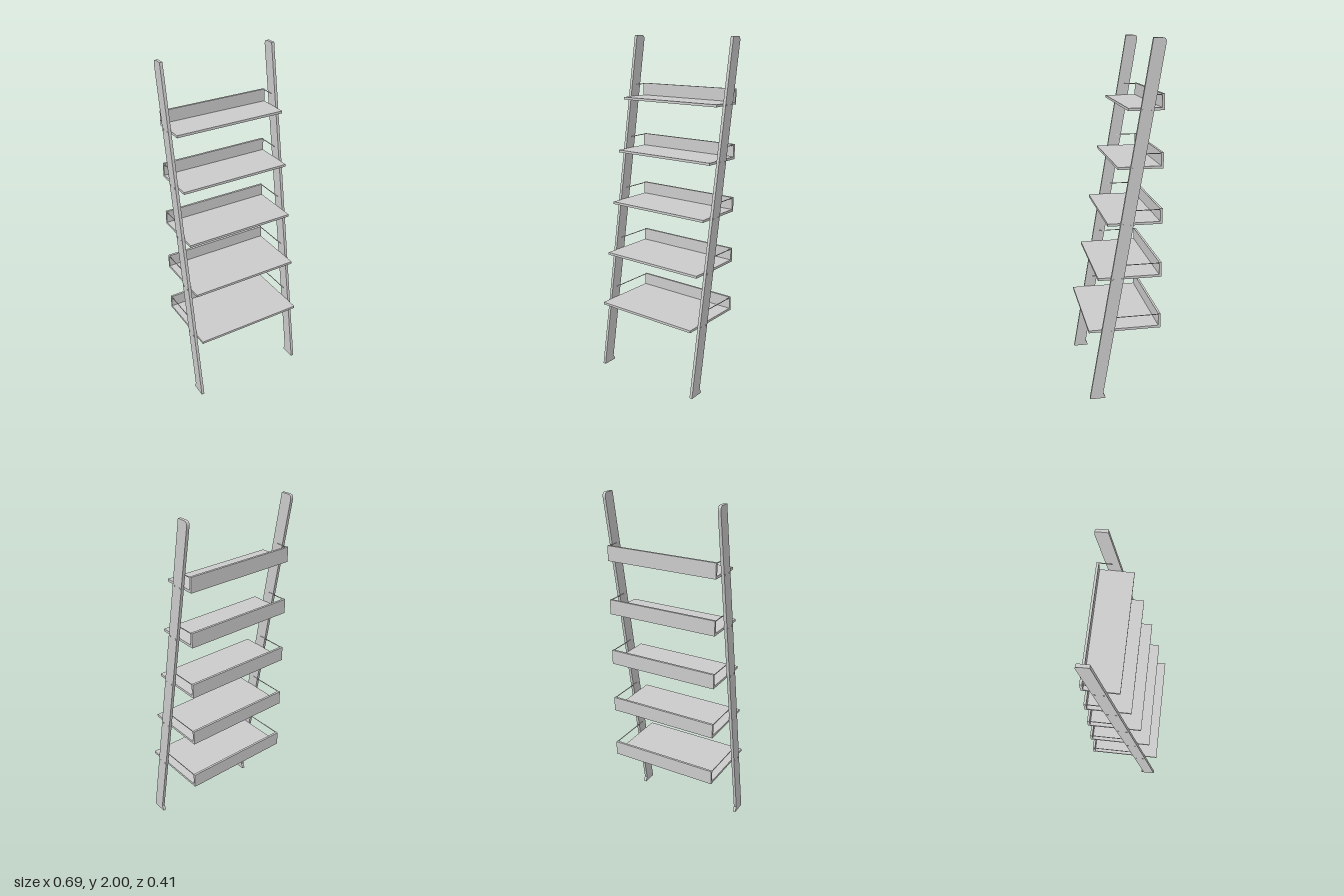
import * as THREE from 'three';

const material = new THREE.MeshStandardMaterial({ color: 0xcccccc, flatShading: true });
const INNER = 0.328, THICK = 0.017, BACK = -0.206;

function add(parent, name, geometry, x = 0, y = 0, z = 0) {
  const mesh = new THREE.Mesh(geometry, material);
  mesh.name = name;
  mesh.position.set(x, y, z);
  parent.add(mesh);
  return mesh;
}

// side profile drawn with x = -z, extruded across the rail thickness
function extrudeSide(shape) {
  return new THREE.ExtrudeGeometry(shape, { depth: THICK, bevelEnabled: false, curveSegments: 6 })
    .rotateY(Math.PI / 2).translate(-THICK / 2, 0, 0);
}

function railGeometry() {
  const s = new THREE.Shape();
  s.moveTo(-0.203, 0.006);
  s.lineTo(-0.132, 0.006);
  s.lineTo(0.204, 1.975);
  s.quadraticCurveTo(0.206, 2, 0.185, 2);
  s.lineTo(0.137, 2);
  s.closePath();
  return extrudeSide(s);
}

// wedge-shaped foot under the rail
function footGeometry() {
  const s = new THREE.Shape();
  s.moveTo(-0.203, 0);
  s.lineTo(-0.115, 0);
  s.lineTo(-0.117, 0.01);
  s.lineTo(-0.128, 0.032);
  s.lineTo(-0.135, 0.006);
  s.lineTo(-0.203, 0.006);
  s.closePath();
  return extrudeSide(s);
}

export function createModel() {
  const model = new THREE.Group();
  model.name = 'ladderShelf';
  const railCentre = (y) => 0.167 - 0.17 * y;

  // leaning side rails with feet
  for (const side of [-1, 1]) {
    const name = side > 0 ? 'left' : 'right';
    add(model, name + 'Rail', railGeometry(), side * (INNER + THICK / 2));
    add(model, name + 'Foot', footGeometry(), side * (INNER + THICK / 2));
  }

  // five shelves, shallower towards the top
  for (let i = 0; i < 5; i++) {
    const shelf = new THREE.Group();
    shelf.name = 'shelf' + (i + 1);
    model.add(shelf);
    const top = 0.419 + i * 0.3073, t = 0.014;
    const front = 0.205 - i * 0.0543, depth = front - BACK;
    add(shelf, 'board', new THREE.BoxGeometry(INNER * 2, t, depth), 0, top - t / 2, (front + BACK) / 2);
    const height = 0.071;
    add(shelf, 'backPanel', new THREE.BoxGeometry(INNER * 2, height, 0.013), 0, top + height / 2, BACK + 0.0065);

    for (const side of [-1, 1]) {
      // thin guard rod from the panel top to the rail
      const rodY = top + height - 0.004;
      const rodFront = railCentre(rodY), length = rodFront - BACK - 0.006;
      const rod = new THREE.CylinderGeometry(0.0025, 0.0025, length, 8).rotateX(Math.PI / 2);
      add(shelf, 'guardRod', rod, side * (INNER - 0.002), rodY, rodFront - length / 2);

      // pair of screw heads on the outside of the rail
      for (const offset of [-0.023, 0.023]) {
        const screw = new THREE.CylinderGeometry(0.005, 0.005, 0.004, 12).rotateZ(Math.PI / 2);
        const y = top - t / 2;
        add(shelf, 'screw', screw, side * (INNER + THICK), y, railCentre(y) + offset);
      }
    }
  }
  return model;
}
